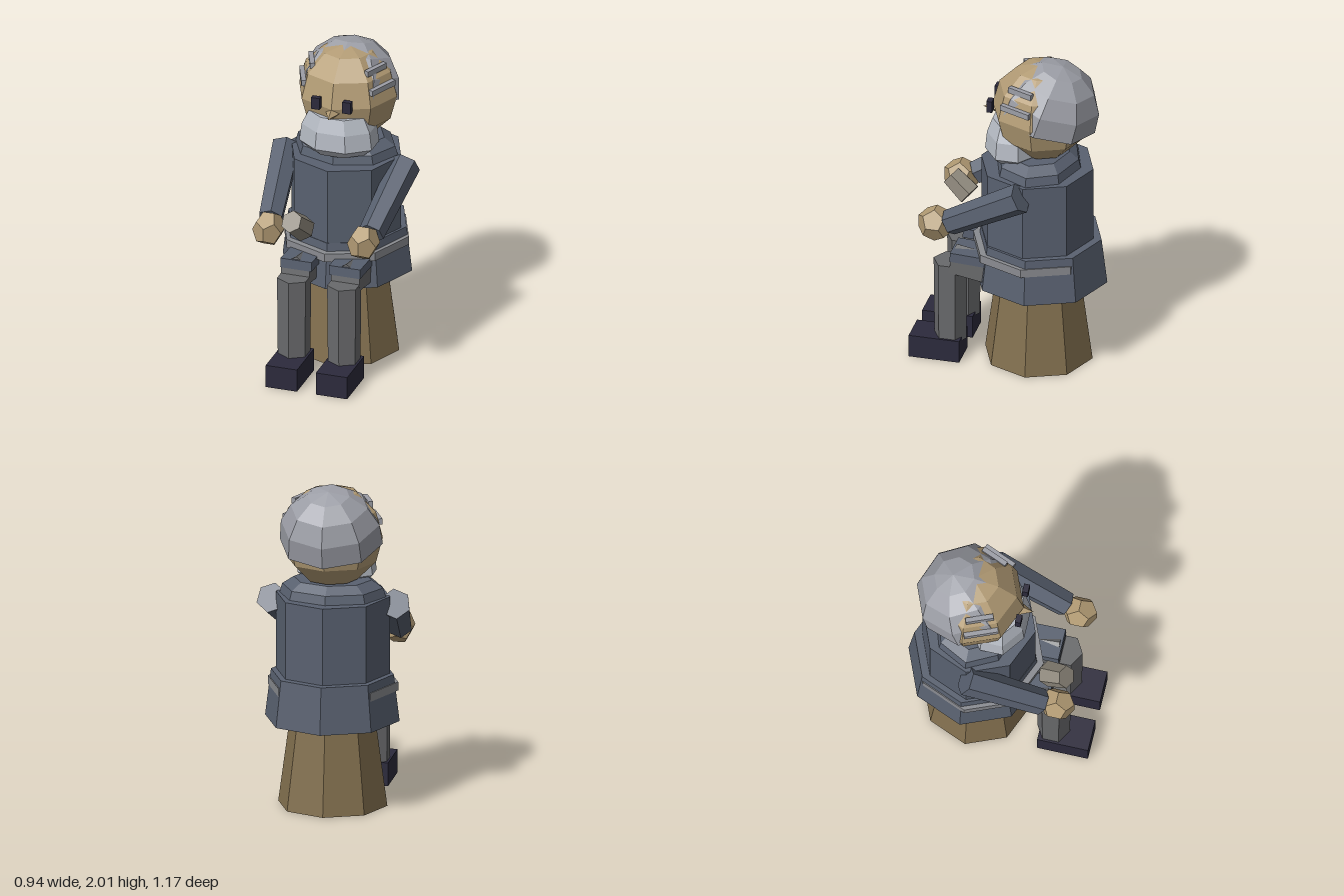
import * as THREE from 'three';

const COLORS = {
  skin: 0xb39c75, hair: 0x9c9ea6, beard: 0xb4b9c2, jacket: 0x596170, trousers: 0x696a6c,
  belt: 0x8a8c91, stump: 0x83704f, dark: 0x2c2a3c, tool: 0x8c867a,
};
const material = {};
for (const key in COLORS) {
  material[key] = new THREE.MeshStandardMaterial({ color: COLORS[key], flatShading: true });
}
material.hair.side = THREE.DoubleSide;

export function createModel() {
  const model = new THREE.Group();
  model.name = 'seatedOldMan';

  function add(name, geometry, mat, x = 0, y = 0, z = 0) {
    const mesh = new THREE.Mesh(geometry, material[mat]);
    mesh.name = name;
    mesh.position.set(x, y, z);
    model.add(mesh);
    return mesh;
  }

  // Upright faceted drum between two heights
  function drum(name, mat, rBottom, rTop, y0, y1, z, sides = 8, x = 0) {
    return add(name, new THREE.CylinderGeometry(rTop, rBottom, y1 - y0, sides), mat, x, (y0 + y1) / 2, z);
  }

  // Six-sided tapered limb between two points
  function limb(name, mat, from, to, rFrom, rTo) {
    const a = new THREE.Vector3(...from), b = new THREE.Vector3(...to);
    const dir = b.clone().sub(a);
    const mesh = add(name, new THREE.CylinderGeometry(rTo, rFrom, dir.length(), 6), mat);
    mesh.position.copy(a).add(b).multiplyScalar(0.5);
    mesh.quaternion.setFromUnitVectors(new THREE.Vector3(0, 1, 0), dir.normalize());
    return mesh;
  }

  function lathe(name, mat, profile, z, scaleX, scaleZ, phi = 0) {
    const points = profile.map(([r, y]) => new THREE.Vector2(r, y));
    const mesh = add(name, new THREE.LatheGeometry(points, 8, phi), mat, 0, 0, z);
    mesh.scale.set(scaleX, 1, scaleZ);
    return mesh;
  }

  // Seat and jacket
  drum('stump', 'stump', 0.335, 0.24, 0, 0.7, -0.16);
  drum('jacketSkirt', 'jacket', 0.413, 0.377, 0.54, 0.83, -0.174);
  drum('jacketBody', 'jacket', 0.35, 0.35, 0.7, 1.31, -0.15);
  drum('belt', 'belt', 0.4, 0.4, 0.725, 0.778, -0.15);
  lathe('collar', 'jacket',
    [[0, 1.3], [0.33, 1.3], [0.31, 1.365], [0.24, 1.412], [0, 1.412]], -0.16, 1, 0.8);

  // Head and tilted cap of hair
  add('head', new THREE.SphereGeometry(0.312, 8, 6), 'skin', 0, 1.69, -0.185);
  const hair = add('hair',
    new THREE.SphereGeometry(0.318, 8, 4, 0, Math.PI * 2, 0, 1.68), 'hair', 0, 1.69, -0.217);
  hair.rotation.x = -0.3;

  // Beard wrapping the lower face
  lathe('beard', 'beard',
    [[0, 1.62], [0.19, 1.62], [0.235, 1.53], [0.25, 1.42], [0.19, 1.37], [0, 1.37]].reverse(),
    -0.02, 1, 0.74, Math.PI / 8);

  const nose = add('nose', new THREE.ConeGeometry(0.045, 0.09, 4), 'skin', 0, 1.655, 0.142);
  nose.rotation.x = Math.PI / 2 + 0.1;

  // Paired parts
  for (const [side, s] of [['left', 1], ['right', -1]]) {
    add(side + 'Eye', new THREE.BoxGeometry(0.054, 0.075, 0.035), 'dark', s * 0.1, 1.72, 0.118);

    // Strands combed forward over the temple
    for (const [y, r, length] of [[1.89, 0.232, 0.17], [1.785, 0.288, 0.21]]) {
      const strand = add(side + 'HairStrand', new THREE.BoxGeometry(0.03, 0.036, length), 'hair',
        s * r * 0.88, y, -0.185 + r * 0.365);
      strand.rotation.y = -s * Math.PI / 8;
    }

    // Arm and hand
    limb(side + 'Sleeve', 'jacket', [s * 0.38, 1.265, -0.145], [s * 0.322, 1.0, 0.315], 0.095, 0.08);
    const hand = add(side + 'Hand', new THREE.DodecahedronGeometry(0.113), 'skin', s * 0.303, 0.975, 0.405);
    hand.scale.x = 0.87;

    // Leg, jacket flap on the knee, and shoe
    limb(side + 'Thigh', 'trousers', [s * 0.16, 0.595, -0.05], [s * 0.16, 0.66, 0.33], 0.105, 0.105);
    drum(side + 'Shin', 'trousers', 0.1, 0.105, 0.12, 0.65, 0.35, 6, s * 0.16);
    const flap = add(side + 'Flap', new THREE.BoxGeometry(0.2, 0.06, 0.25), 'jacket', s * 0.155, 0.712, 0.205);
    flap.rotation.x = -0.05;
    add(side + 'Shoe', new THREE.BoxGeometry(0.2, 0.145, 0.315), 'dark', s * 0.16, 0.0725, 0.4275);
  }

  // Small block held beside the right hand
  const block = add('heldBlock', new THREE.CylinderGeometry(0.07, 0.08, 0.16, 6), 'tool', -0.135, 1.005, 0.365);
  block.rotation.set(0.9, 0, 0.2);

  return model;
}
